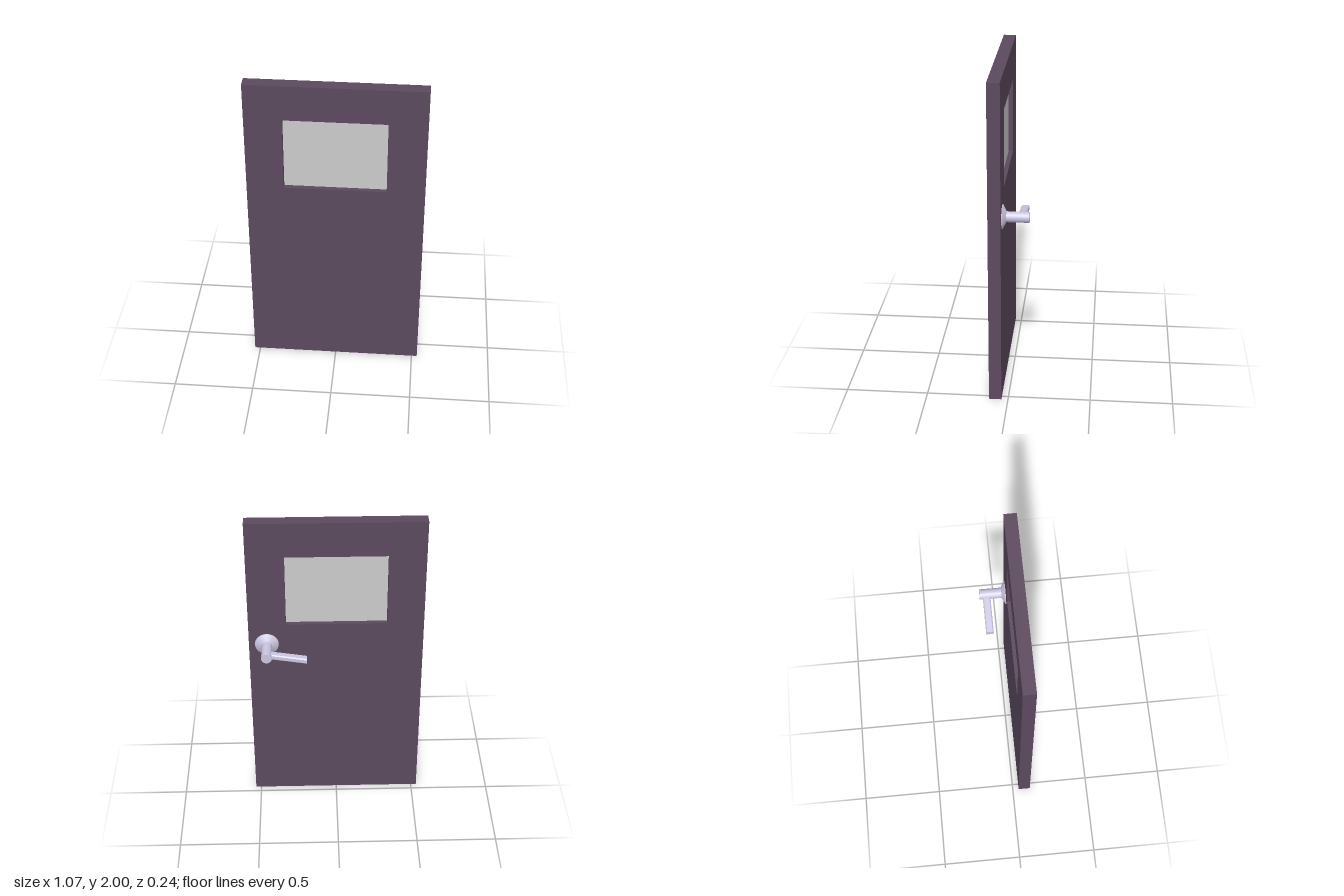
import * as THREE from 'three';

const HALF_W = 0.535, HEIGHT = 2, BACK = 0.04, THICK = 0.076;
const WIN = { x0: -0.31, x1: 0.305, y0: 1.305, y1: 1.775 };

function rect(Type, x0, y0, x1, y1) {
  const r = new Type();
  r.moveTo(x0, y0);
  r.lineTo(x1, y0);
  r.lineTo(x1, y1);
  r.lineTo(x0, y1);
  r.closePath();
  return r;
}

export function createModel() {
  const group = new THREE.Group();
  const doorMat = new THREE.MeshStandardMaterial({ color: 0x5c4a5e });
  const glassMat = new THREE.MeshStandardMaterial({ color: 0xcccccc });
  const metalMat = new THREE.MeshStandardMaterial({ color: 0xcbc7e2 });
  const leverMat = new THREE.MeshStandardMaterial({ color: 0xcbc7e2, flatShading: true });

  const add = (name, geometry, material, parent = group) => {
    const mesh = new THREE.Mesh(geometry, material);
    mesh.name = name;
    parent.add(mesh);
    return mesh;
  };

  // Door slab with a rectangular window opening
  const slab = rect(THREE.Shape, -HALF_W, 0, HALF_W, HEIGHT);
  slab.holes.push(rect(THREE.Path, WIN.x0, WIN.y0, WIN.x1, WIN.y1));
  const slabGeo = new THREE.ExtrudeGeometry(slab, { depth: THICK, bevelEnabled: false });
  add('doorSlab', slabGeo, doorMat).position.z = BACK;

  // Window pane set halfway into the slab
  const paneGeo = new THREE.BoxGeometry(WIN.x1 - WIN.x0, WIN.y1 - WIN.y0, 0.02);
  add('windowPane', paneGeo, glassMat)
    .position.set((WIN.x0 + WIN.x1) / 2, (WIN.y0 + WIN.y1) / 2, BACK + THICK / 2);

  // Handle on the back face
  const handle = new THREE.Group();
  handle.name = 'handle';
  handle.position.set(0.425, 1.164, BACK);
  group.add(handle);

  // Flared rose and spindle; the lathe axis points to -z
  const rose = [[0.073, 0], [0.073, 0.004], [0.032, 0.025]];
  const spindle = [[0.032, 0.025], [0.032, 0.16]];
  const cap = [[0.032, 0.16], [0, 0.16]];
  [['rose', rose], ['spindle', spindle], ['spindleCap', cap]].forEach(([name, pts]) => {
    const geo = new THREE.LatheGeometry(pts.map(([r, y]) => new THREE.Vector2(r, y)), 32);
    add(name, geo, metalMat, handle).rotation.x = -Math.PI / 2;
  });

  // Lever: bevelled bar that droops towards its free end
  const w = 0.0235, h = 0.018, b = 0.007;
  const section = new THREE.Shape([
    [-w + b, -h], [w - b, -h], [w, -h + b], [w, h - b],
    [w - b, h], [-w + b, h], [-w, h - b], [-w, -h + b],
  ].map(([x, y]) => new THREE.Vector2(x, y)));
  const length = 0.245;
  const leverGeo = new THREE.ExtrudeGeometry(section, { depth: length, steps: 6, bevelEnabled: false });
  leverGeo.rotateY(-Math.PI / 2);
  const pos = leverGeo.attributes.position;
  for (let i = 0; i < pos.count; i++) {
    const t = -pos.getX(i) / length;
    pos.setY(i, pos.getY(i) - 0.041 * t);
  }
  leverGeo.computeVertexNormals();
  add('lever', leverGeo, leverMat, handle).position.z = -0.117;

  return group;
}
